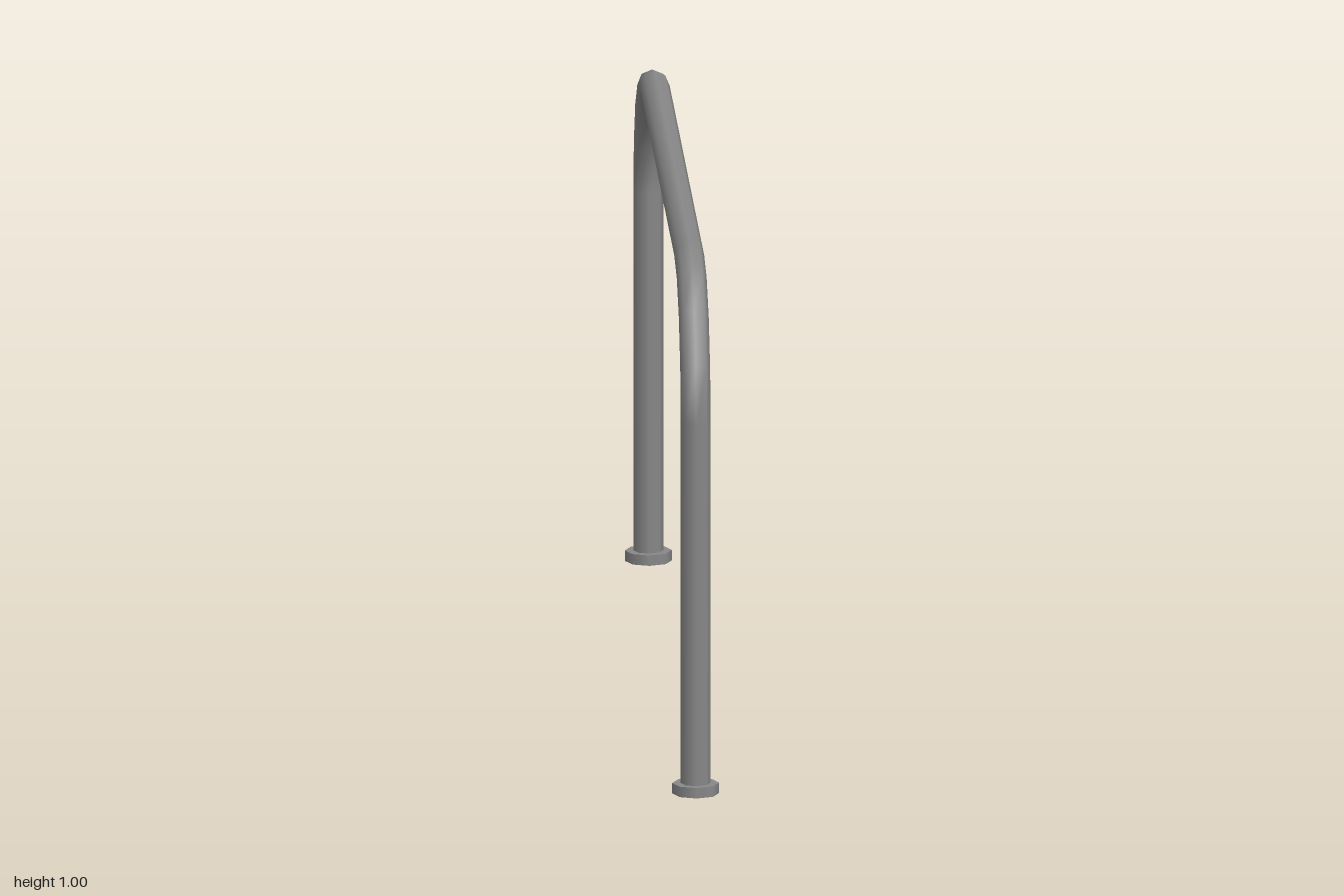
import * as THREE from 'three';

const SIDES = 8, TUBE_R = 0.028, FOOT_R = 0.044, FOOT_H = 0.02;
const LEG_Z = 1 - FOOT_R, TOP_Y = 1 - TUBE_R, BEND_R = 0.26, BEND_STEPS = 4;

// Centre line: straight legs and top bar joined by two stepped quarter bends
class HoopCurve extends THREE.Curve {
  constructor() {
    super();
    this.points = [];
    this.tangents = [];
    const add = (y, z, a) => {
      this.points.push(new THREE.Vector3(0, y, z));
      this.tangents.push(new THREE.Vector3(0, Math.cos(a), -Math.sin(a)));
    };
    add(FOOT_H / 2, LEG_Z, 0);
    for (const side of [1, -1]) {
      for (let i = 0; i <= BEND_STEPS; i++) {
        const a = (i / BEND_STEPS + (side < 0 ? 1 : 0)) * Math.PI / 2;
        add(TOP_Y - BEND_R + BEND_R * Math.sin(a), side * (LEG_Z - BEND_R) + BEND_R * Math.cos(a), a);
      }
    }
    add(FOOT_H / 2, -LEG_Z, Math.PI);
  }
  // One tube ring lands on each path point
  index(u) { return Math.round(u * (this.points.length - 1)); }
  getPoint(t, target = new THREE.Vector3()) { return target.copy(this.points[this.index(t)]); }
  getPointAt(u, target) { return this.getPoint(u, target); }
  getTangentAt(u, target = new THREE.Vector3()) { return target.copy(this.tangents[this.index(u)]); }
}

export function createModel() {
  const model = new THREE.Group();
  model.name = 'hoopBarrier';
  const material = new THREE.MeshStandardMaterial({ color: 0x888888 });

  // Bent tube
  const path = new HoopCurve();
  const hoop = new THREE.Mesh(
    new THREE.TubeGeometry(path, path.points.length - 1, TUBE_R, SIDES, false), material);
  hoop.name = 'hoopTube';
  model.add(hoop);

  // Round foot plates
  const footGeometry = new THREE.CylinderGeometry(FOOT_R, FOOT_R, FOOT_H, SIDES);
  for (const side of [1, -1]) {
    const foot = new THREE.Mesh(footGeometry, material);
    foot.name = side > 0 ? 'frontFoot' : 'backFoot';
    foot.position.set(0, FOOT_H / 2, side * LEG_Z);
    model.add(foot);
  }
  return model;
}
